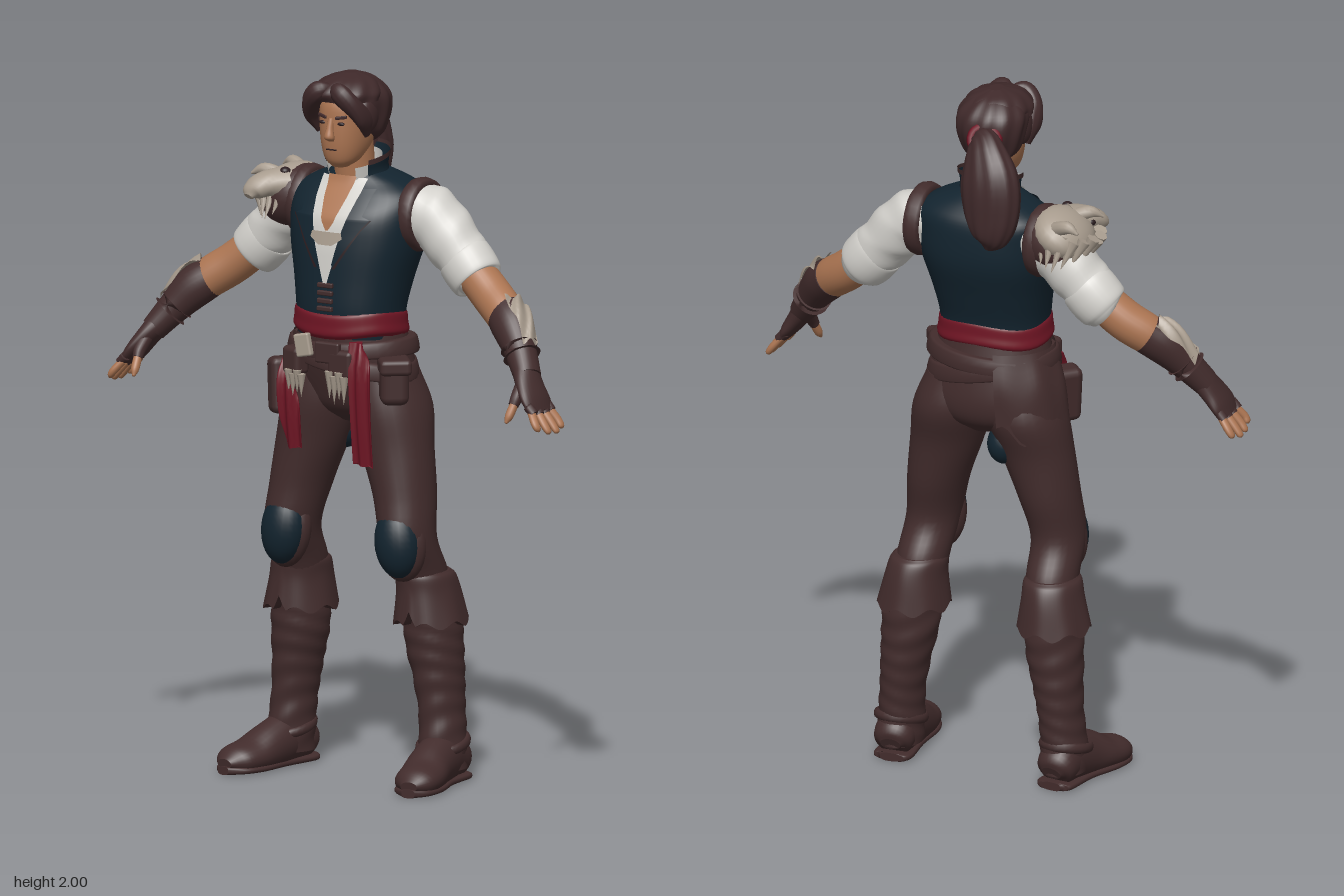
import * as THREE from 'three';
import { RoundedBoxGeometry } from 'three/addons/geometries/RoundedBoxGeometry.js';

const paint = (name, color) => new THREE.MeshStandardMaterial({ name, color, side: THREE.DoubleSide });
const V = (x, y, z) => new THREE.Vector3(x, y, z);

// Elliptical sections [x, y, z, ru, rv] swept along a smooth path.
// flat keeps rings horizontal, ref is the direction of rv, p squares the ellipse, mod edits each point.
function loft(rows, { n = 28, steps = 5, flat = false, ref = V(0, 0, 1), arc = null, p = 2, mod = null } = {}) {
  const path = new THREE.CatmullRomCurve3(rows.map(r => V(r[0], r[1], r[2])), false, 'catmullrom');
  const radii = new THREE.CatmullRomCurve3(rows.map(r => V(r[3], r[4], 0)), false, 'catmullrom');
  const m = (rows.length - 1) * steps, pos = [], idx = [];
  const [a0, a1] = arc || [0, Math.PI * 2], w = arc ? n + 1 : n;
  const pw = c => Math.sign(c) * Math.abs(c) ** (2 / p);
  for (let i = 0; i <= m; i++) {
    const k = i / m, c = path.getPoint(k), r = radii.getPoint(k);
    let t = path.getTangent(k);
    if (flat) t = V(0, Math.sign(rows.at(-1)[1] - rows[0][1]), 0);
    const v = ref.clone().addScaledVector(t, -ref.dot(t)).normalize(), u = t.clone().cross(v);
    for (let j = 0; j < w; j++) {
      const a = a0 + (a1 - a0) * j / n;
      const q = c.clone().addScaledVector(u, r.x * pw(Math.cos(a))).addScaledVector(v, r.y * pw(Math.sin(a)));
      if (mod) mod(q, a, k, c);
      pos.push(q.x, q.y, q.z);
    }
  }
  for (let i = 0; i < m; i++) for (let j = 0; j < n; j++) {
    const a = i * w + j, b = i * w + (j + 1) % w;
    idx.push(a, a + w, b, b, a + w, b + w);
  }
  // end caps
  if (!arc) for (const [start, flip] of [[0, 0], [m * w, 1]]) {
    const c0 = pos.length / 3, c = flip ? path.getPoint(1) : path.getPoint(0);
    for (let j = 0; j < w; j++) pos.push(...pos.slice((start + j) * 3, (start + j) * 3 + 3));
    pos.push(c.x, c.y, c.z);
    for (let j = 0; j < w; j++) {
      const a = c0 + j, b = c0 + (j + 1) % w;
      idx.push(c0 + w, ...(flip ? [b, a] : [a, b]));
    }
  }
  const g = new THREE.BufferGeometry();
  g.setAttribute('position', new THREE.Float32BufferAttribute(pos, 3));
  g.setIndex(idx);
  g.computeVertexNormals();
  return g;
}

export function createModel() {
  const brown = paint('brown leather', 0x422c2c), hair = paint('dark brown hair', 0x3f292a);
  const navy = paint('navy cloth', 0x13242f), red = paint('red cloth', 0x701524);
  const white = paint('white linen', 0xd2d0cb), skin = paint('skin', 0xac7552);
  const bone = paint('bone', 0xa89c8e), dark = paint('dark seam', 0x2b1d20);
  const model = new THREE.Group();
  const add = (name, mat, geo, x = 0, y = 0, z = 0, rx = 0, ry = 0, rz = 0) => {
    const mesh = new THREE.Mesh(geo, mat);
    mesh.name = name; mesh.position.set(x, y, z); mesh.rotation.set(rx, ry, rz);
    model.add(mesh);
    return mesh;
  };
  const ball = (name, mat, c, r, rot = [0, 0, 0]) =>
    add(name, mat, new THREE.SphereGeometry(1, 24, 16), ...c, ...rot).scale.set(...r);
  const box = (name, mat, c, s, rot = [0, 0, 0]) =>
    add(name, mat, new RoundedBoxGeometry(...s, 2, Math.min(...s) * 0.3), ...c, ...rot);

  // Vest
  const torso = [[0, 1.26, .02, .155, .125], [0, 1.33, .025, .155, .13], [0, 1.42, .01, .17, .142], [0, 1.52, -.01, .193, .155],
    [0, 1.6, -.02, .2, .15], [0, 1.655, -.035, .196, .127], [0, 1.69, -.035, .15, .1], [0, 1.72, -.02, .075, .075]];
  add('vest', navy, loft(torso, { flat: true, p: 2.3, n: 40 }));

  // Thin panels laid on the chest; rows are [y, left x, right x]
  const chestZ = (x, y) => {
    let i = 0;
    while (i < torso.length - 2 && torso[i + 1][1] < y) i++;
    const k = (y - torso[i][1]) / (torso[i + 1][1] - torso[i][1]);
    const [cz, rx, rz] = [2, 3, 4].map(c => torso[i][c] + (torso[i + 1][c] - torso[i][c]) * k);
    return cz + rz * Math.max(0, 1 - Math.abs(x / rx) ** 2.3) ** (1 / 2.3);
  };
  const panel = (name, mat, rows, off) => {
    const g = new THREE.PlaneGeometry(1, 1, 8, (rows.length - 1) * 5), a = g.attributes.position;
    for (let i = 0; i < a.count; i++) {
      const f = (a.getY(i) + .5) * (rows.length - 1), s = Math.min(Math.floor(f), rows.length - 2);
      const [y, l, r] = rows[s].map((q, c) => q + (rows[s + 1][c] - q) * (f - s));
      const x = l + (r - l) * (a.getX(i) + .5);
      a.setXYZ(i, x, y, chestZ(x, y) + off);
    }
    g.computeVertexNormals();
    add(name, mat, g);
  };
  panel('shirtFront', white, [[1.41, -.004, .004], [1.55, -.046, .046], [1.65, -.068, .068], [1.705, -.074, .074]], .008);
  panel('bareChest', skin, [[1.565, -.004, .004], [1.59, -.02, .02], [1.65, -.036, .036], [1.71, -.046, .046]], .014);
  panel('shirtFrill', bone, [[1.525, -.022, .022], [1.545, -.052, .052], [1.562, -.048, .048]], .0155);
  for (let i = 0; i < 4; i++) box('vestLace', brown, [0, 1.345 + i * .022, chestZ(0, 1.345 + i * .022) + .004], [.05, .014, .012]);
  for (const s of [-1, 1]) {
    panel('lapel', navy, [[1.47, s * .022, s * .035], [1.57, s * .048, s * .1], [1.6, s * .058, s * .125], [1.61, s * .06, s * .1], [1.68, s * .075, s * .11]], .013);
    panel('lapelEdge', dark, [[1.46, s * .024, s * .034], [1.57, s * .098, s * .103], [1.6, s * .123, s * .128]], .014);
    add('armholeTrim', brown, new THREE.TorusGeometry(.089, .016, 8, 28), s * .186, 1.6, -.045, 0, Math.PI / 2, s * .22).scale.z = 1.6;
  }

  // Neck and open collars, higher at the back
  add('neck', skin, loft([[0, 1.66, 0, .058, .062], [0, 1.72, .008, .056, .06], [0, 1.82, .02, .055, .06]], { flat: true }));
  const lift = (q, a, k) => { q.y += -Math.sin(a) * .02 * k; };
  const gap = [Math.PI * .7, Math.PI * 2.3];
  add('shirtCollar', white, loft([[0, 1.68, 0, .07, .075], [0, 1.75, .01, .077, .08]], { flat: true, arc: gap, mod: lift }));
  add('vestCollar', navy, loft([[0, 1.67, -.015, .1, .09], [0, 1.72, -.008, .084, .088], [0, 1.757, -.008, .088, .094]], { flat: true, arc: [Math.PI * .8, Math.PI * 2.2], mod: lift }));
  add('collarEdge', brown, loft([[0, 1.75, -.008, .09, .096], [0, 1.765, -.008, .091, .098]], { flat: true, arc: [Math.PI * .8, Math.PI * 2.2], mod: q => { q.y -= q.z * .2; } }));

  // Head and face
  add('face', skin, loft([[0, 1.737, .08, .022, .022], [0, 1.758, .065, .047, .054], [0, 1.8, .048, .064, .08], [0, 1.86, .04, .072, .09],
    [0, 1.92, .035, .073, .09], [0, 1.97, .03, .05, .06]], { flat: true, p: 2.2 }));
  add('nose', skin, loft([[0, 1.88, .125, .008, .01], [0, 1.85, .133, .01, .012], [0, 1.826, .137, .015, .014], [0, 1.815, .128, .01, .008]], { flat: true, n: 12 }));
  box('mouth', dark, [0, 1.79, .125], [.034, .004, .006]);
  for (const s of [-1, 1]) {
    ball('eye', dark, [s * .03, 1.865, .123], [.012, .005, .006]);
    box('eyebrow', hair, [s * .031, 1.883, .124], [.034, .009, .008], [0, s * .3, s * .15]);
  }

  // Hair: ridged back shell, crown, fringe locks, tied tail
  const strands = (q, a, k, c) => { q.sub(c).multiplyScalar(1 + .025 * Math.sin(a * 11 + k * 5)).add(c); };
  add('hairBack', hair, loft([[0, 1.8, -.025, .045, .035], [0, 1.83, -.005, .08, .068], [0, 1.89, -.002, .098, .092], [0, 1.94, .01, .097, .097],
    [0, 1.98, .025, .06, .07], [0, 1.995, .03, .015, .02]], { flat: true, n: 66, mod: strands }));
  add('hairCrown', hair, loft([[0, 1.925, .04, .097, .1], [0, 1.95, .04, .095, .108], [0, 1.98, .035, .068, .08], [0, 1.997, .03, .02, .025]], { flat: true, n: 66, mod: strands }));
  for (const s of [-1, 1]) {
    add('fringe', hair, loft([[s * .008, 1.965, .12, .012, .012], [s * .035, 1.955, .138, .028, .024], [s * .066, 1.922, .125, .027, .026],
      [s * .084, 1.878, .088, .018, .032], [s * .08, 1.83, .065, .006, .012]], { mod: strands }));
    ball('sideHair', hair, [s * .073, 1.885, .05], [.022, .05, .042]);
  }
  add('ponytail', hair, loft([[-.015, 1.885, -.07, .03, .03], [-.035, 1.87, -.11, .055, .044], [-.064, 1.79, -.14, .086, .058],
    [-.075, 1.69, -.15, .08, .055], [-.078, 1.625, -.158, .052, .042], [-.072, 1.592, -.165, .01, .01]], { n: 55, mod: strands }));
  add('hairTie', red, new THREE.TorusGeometry(.038, .013, 8, 20), -.022, 1.885, -.088, .35, .3, 0);

  // Hips, sash and belts
  add('hips', brown, loft([[0, 1.01, -.02, .05, .06], [0, 1.05, -.014, .165, .108], [0, 1.11, -.008, .19, .128], [0, 1.2, .01, .178, .135], [0, 1.28, .02, .158, .13]], { flat: true }));
  ball('gusset', navy, [-.065, .975, -.045], [.05, .06, .055]);
  add('sash', red, loft([[0, 1.265, .025, .158, .13], [0, 1.278, .025, .165, .138], [0, 1.3, .026, .162, .136], [0, 1.325, .026, .159, .135], [0, 1.335, .026, .152, .128]],
    { flat: true, n: 36, p: 2.2, mod: (q, a) => { q.y += .006 * Math.sin(a * 3); } }));
  for (const [y, tilt] of [[1.225, .06], [1.195, -.18]])
    add('belt', brown, loft([[0, y - .024, .015, .188, .148], [0, y - .018, .015, .196, .156], [0, y + .018, .015, .188, .153], [0, y + .024, .015, .178, .143]],
      { flat: true, n: 36, steps: 2, mod: q => { q.y += q.x * tilt; } }));
  add('hipFlap', brown, loft([[-.02, 1.26, .01, .158, .135], [-.025, 1.15, 0, .19, .147], [-.03, 1.03, 0, .2, .145]],
    { flat: true, arc: [-1.3, 1.1], mod: (q, a, k) => { q.y += k * .03 * Math.sin(a * 9); } }));
  box('buckle', brown, [.02, 1.225, .172], [.08, .06, .02]);
  box('pouch', brown, [.185, 1.15, .09], [.08, .13, .1], [0, .7, 0]);
  box('pouchFlap', brown, [.19, 1.195, .095], [.09, .045, .11], [0, .7, 0]);
  box('pouch', brown, [-.18, 1.1, .08], [.07, .16, .1], [0, -.7, .1]);
  box('pouch', brown, [-.1, 1.19, .155], [.07, .08, .05], [0, -.3, 0]);
  box('pouch', brown, [.06, 1.195, .16], [.08, .08, .045]);
  box('hornFlask', bone, [-.058, 1.24, .178], [.05, .065, .02], [0, 0, .2]);
  for (let i = 0; i < 4; i++) {
    add('boneCharm', bone, new THREE.ConeGeometry(.014, .08, 8), .03 + i * .016, 1.135 - (i % 2) * .012, .18, Math.PI, 0, 0);
    add('boneCharm', bone, new THREE.ConeGeometry(.013, .065, 8), -.105 + i * .014, 1.135 - (i % 2) * .01, .182, Math.PI, 0, 0);
  }
  // Hanging sash tails with pleats
  const pleat = (q, a, k) => { q.z += .008 * Math.sin(q.x * 160); q.y -= k * .09 * Math.abs(q.x); };
  add('sashTail', red, loft([[.105, 1.26, .155, .02, .012], [.125, 1.18, .172, .034, .01], [.128, 1.05, .168, .034, .008], [.13, .925, .156, .035, .005]], { flat: true, mod: pleat }));
  add('sashTail', red, loft([[-.135, 1.19, .14, .012, .012], [-.126, 1.14, .168, .022, .01], [-.11, 1.05, .168, .034, .008], [-.1, .95, .158, .027, .005]], { flat: true, mod: pleat }));

  for (const s of [-1, 1]) {
    const side = rows => rows.map(([x, ...r]) => [x * s, ...r]);
    // Leg and knee patch
    add('trouserLeg', brown, loft(side([[.095, 1.16, 0, .09, .11], [.113, 1.06, -.006, .112, .124], [.139, .95, .006, .104, .106], [.172, .82, .016, .086, .098],
      [.193, .7, .03, .075, .09], [.2, .6, -.02, .072, .085], [.206, .5, -.045, .07, .08]]), { flat: true }));
    ball('kneePatch', navy, [s * .19, .693, .078], [.067, .102, .059], [-.05, s * .1, s * .1]);
    ball('kneePadEdge', brown, [s * .19, .693, .06], [.077, .115, .048], [-.05, s * .1, s * .1]);
    // Boot with folded ragged cuff and wrinkles
    add('bootCuff', brown, loft(side([[.204, .6, -.03, .07, .082], [.207, .585, -.035, .08, .093], [.212, .54, -.043, .086, .1], [.217, .455, -.047, .103, .111]]),
      { flat: true, n: 60, mod: (q, a, k) => { q.y += k * k * (.05 * Math.max(0, 1 - Math.abs(a - Math.PI / 2) * 5) + .01 * Math.sin(a * 7)); } }));
    add('bootShaft', brown, loft(side([[.22, .52, -.05, .078, .086], [.223, .4, -.055, .081, .086], [.235, .3, -.06, .07, .08], [.246, .2, -.06, .062, .074],
      [.252, .12, -.055, .064, .075], [.254, .04, -.055, .063, .074]]),
    { flat: true, steps: 10, mod: (q, a, k, c) => { const f = 1 + .022 * Math.sin(q.y * 100 + 3 * Math.sin(a + q.y * 9)); q.x = c.x + (q.x - c.x) * f; q.z = c.z + (q.z - c.z) * f; } }));
    const ground = q => { q.y = Math.max(q.y, .012); };
    add('bootFoot', brown, loft(side([[.25, .05, -.131, .02, .03], [.252, .06, -.11, .055, .056], [.258, .075, -.05, .075, .06], [.27, .06, .03, .068, .063],
      [.287, .042, .1, .05, .068], [.302, .035, .16, .04, .06], [.308, .03, .2, .015, .025]]), { ref: V(1, 0, 0), mod: ground }));
    add('sole', brown, loft(side([[.25, .012, -.132, .012, .03], [.252, .012, -.11, .012, .056], [.268, .012, .0, .012, .054], [.287, .012, .1, .012, .068],
      [.302, .012, .165, .012, .058], [.309, .012, .205, .012, .02]]), { ref: V(1, 0, 0), p: 3 }));
    add('bootStrap', brown, new THREE.TorusGeometry(.066, .009, 8, 28), s * .256, .11, -.05, Math.PI / 2 + .25, 0, 0).scale.set(1, 1.15, 1.6);

    // Sleeve, rolled cuff, bare forearm
    add('sleeve', white, loft(side([[.15, 1.625, -.055, .06, .07], [.19, 1.61, -.056, .082, .085], [.24, 1.575, -.056, .085, .083], [.295, 1.52, -.054, .079, .078], [.345, 1.468, -.052, .073, .073]]),
      { mod: (q, a, k) => { q.y += .004 * Math.sin(k * 22 + a * 2); } }));
    add('sleeveCuff', white, loft(side([[.315, 1.498, -.054, .07, .07], [.325, 1.488, -.054, .079, .076], [.352, 1.458, -.051, .08, .077], [.376, 1.434, -.047, .074, .071], [.38, 1.43, -.046, .055, .055]])));
    add('forearm', skin, loft(side([[.35, 1.465, -.05, .056, .056], [.43, 1.4, -.032, .058, .058], [.5, 1.35, -.002, .056, .054], [.57, 1.28, .04, .04, .04]])));
    // Bracer with plate and straps
    const bracer = side([[.487, 1.362, -.012, .057, .055], [.53, 1.328, .015, .059, .055], [.58, 1.268, .047, .046, .045], [.625, 1.208, .08, .036, .042]]);
    add('bracer', brown, loft(bracer));
    const top = s > 0 ? Math.PI : 0;
    add('bracerPlate', bone, loft(bracer.slice(0, 3).map(([x, y, z, a, b]) => [x, y, z, a + .006, b + .006]),
      { arc: [top - .6, top + .6], mod: (q, a, k) => { q.y += .008 * Math.sin(a * 8 + k * 9); } }));
    const [bx, by, bz, ba, bb] = bracer[2];
    add('bracerStrap', brown, loft([[bx - s * .008, by + .01, bz - .005, ba + .008, bb + .008], [bx + s * .008, by - .01, bz + .005, ba + .008, bb + .008]], { steps: 1 }));
    // Fingerless glove, fingers and thumb
    add('glove', brown, loft(side([[.612, 1.225, .072, .034, .04], [.64, 1.185, .09, .028, .052], [.665, 1.15, .1, .023, .06], [.686, 1.118, .104, .014, .054]])));
    for (let i = 0; i < 4; i++) {
      const z = .06 + i * .029, e = [.008, 0, .003, .014][i], zt = z + (i - 1) * .007;
      add('fingerGlove', brown, loft(side([[.672, 1.138, z, .014, .015], [.692, 1.112 + e * .5, z, .013, .0145]]), { n: 12 }));
      add('finger', skin, loft(side([[.683, 1.122, z, .011, .0128], [.711 - e * .5, 1.088 + e * .5, zt, .0108, .0125], [.728 - e, 1.066 + e, zt, .0085, .0105], [.732 - e, 1.06 + e, zt, .002, .003]]), { n: 12 }));
    }
    add('thumbGlove', brown, loft(side([[.628, 1.195, .105, .02, .022], [.63, 1.16, .14, .017, .019], [.628, 1.138, .155, .014, .015]]), { n: 12 }));
    add('thumb', skin, loft(side([[.629, 1.145, .15, .012, .013], [.625, 1.11, .172, .0115, .0125], [.622, 1.092, .184, .004, .004]]), { n: 12 }));
  }

  // Beast skull pauldron on the right shoulder
  ball('pauldronPad', brown, [-.225, 1.61, -.045], [.105, .09, .105], [0, 0, .5]);
  ball('skullCranium', bone, [-.25, 1.635, -.05], [.09, .062, .105], [0, 0, .55]);
  add('skullSnout', bone, loft([[-.24, 1.65, .0, .05, .06], [-.275, 1.65, .045, .036, .045], [-.295, 1.635, .075, .026, .034], [-.3, 1.62, .092, .01, .015]], { n: 16, ref: V(1, 0, 0) }));
  for (const d of [-1, 1]) {
    ball('skullSocket', dark, [-.262 + d * .036, 1.67 + d * .018, .018], [.015, .012, .016]);
    add('skullHorn', bone, loft([[-.25, 1.665, -.06 + d * .05, .022, .022], [-.3, 1.685, -.06 + d * .07, .018, .018], [-.335, 1.672, -.055 + d * .08, .003, .003]], { n: 10 }));
  }
  for (let i = 0; i < 13; i++) {
    const a = -1.9 + i * .31;
    add('skullTooth', bone, new THREE.ConeGeometry(.019, .085 + (i % 3) * .012, 7),
      -.25 - Math.cos(a) * .082, 1.605 - Math.cos(a) * .012, -.045 + Math.sin(a) * .1, Math.PI + Math.sin(a) * -.5, 0, Math.cos(a) * -.5);
  }
  return model;
}
